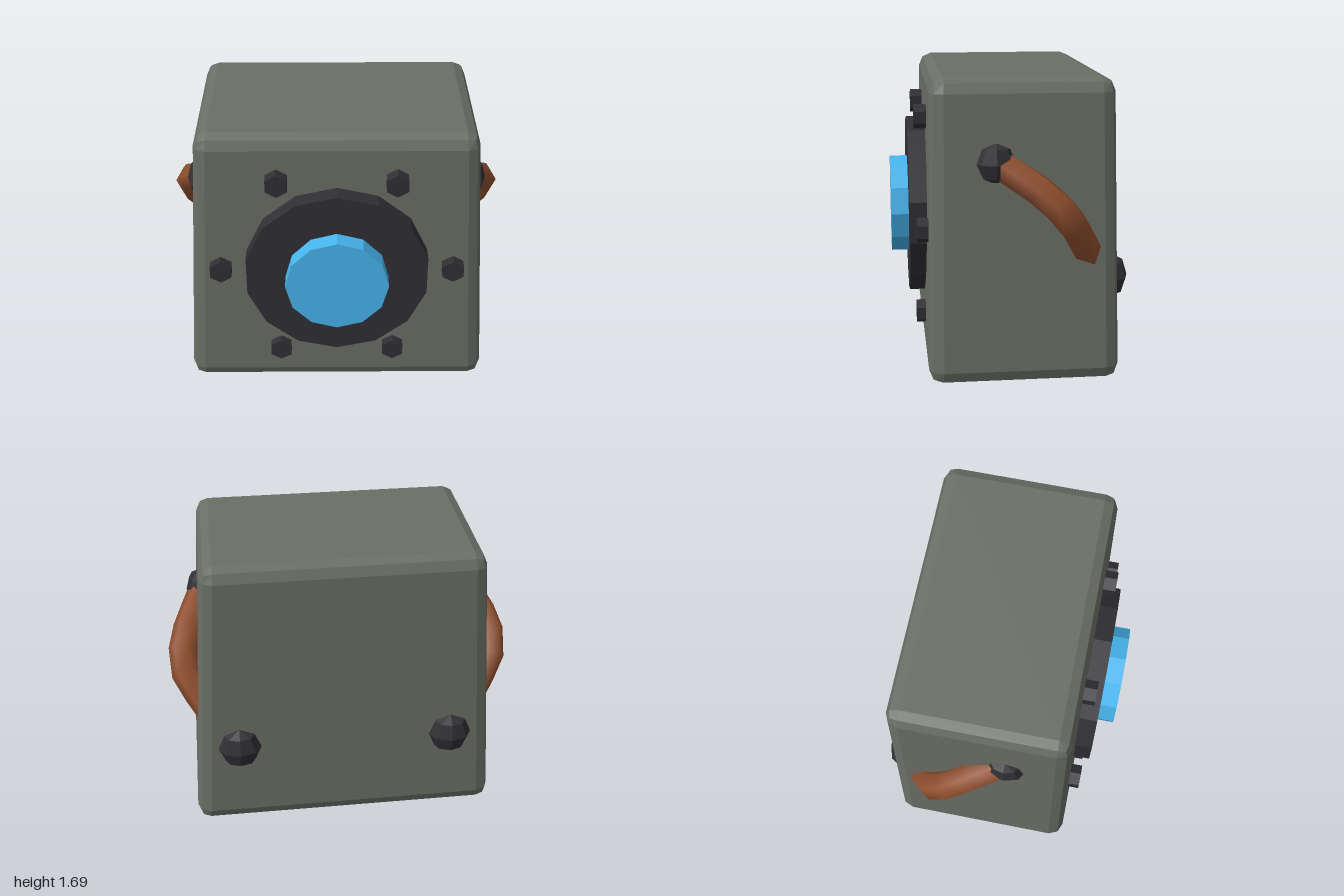
import * as THREE from 'three';
import { RoundedBoxGeometry } from 'three/addons/geometries/RoundedBoxGeometry.js';

const H = 1.69;
const CY = 0.846; // height of the lens axis

const paint = (color, flatShading = true) => new THREE.MeshStandardMaterial({ color, flatShading });

export function createModel() {
  const model = new THREE.Group();
  const shell = paint(0x6a6e65);
  const dark = paint(0x302f34);
  const blue = paint(0x46b5ee);
  const rust = paint(0x92502f, false);

  const add = (name, geometry, material, x = 0, y = 0, z = 0) => {
    const mesh = new THREE.Mesh(geometry, material);
    mesh.name = name;
    mesh.position.set(x, y, z);
    model.add(mesh);
    return mesh;
  };

  // Bevelled housing, narrowing towards the top
  const box = new RoundedBoxGeometry(1.794, H, 1.069, 1, 0.08);
  const p = box.attributes.position;
  for (let i = 0; i < p.count; i++) {
    const t = p.getY(i) / H + 0.5;
    p.setX(i, p.getX(i) * (1 - 0.125 * t));
    p.setZ(i, p.getZ(i) * (1 - 0.055 * t) - 0.0525 + 0.003 * t);
  }
  box.computeVertexNormals();
  add('housing', box, shell, 0, H / 2, 0);

  // Discs facing forward, each with a corner pointing up
  const disc = (name, r, sides, back, front, material, x, y) => {
    const g = new THREE.CylinderGeometry(r, r, front - back, sides);
    g.rotateX(-Math.PI / 2);
    add(name, g, material, x, y, (front + back) / 2);
  };
  disc('lensRing', 0.533, 14, 0.4, 0.565, dark, 0, CY);
  disc('lens', 0.295, 12, 0.5, 0.667, blue, 0, CY);

  // Six bolts around the ring
  for (let i = 0; i < 6; i++) {
    const a = (i * Math.PI) / 3;
    disc('bolt', 0.07, 6, 0.4, 0.53, dark, 0.672 * Math.cos(a), CY + 0.672 * Math.sin(a));
  }

  for (const s of [1, -1]) {
    // Rear knobs and side pivots
    add('rearKnob', new THREE.SphereGeometry(0.125, 8, 4), dark, s * 0.62, 0.54, -0.577)
      .scale.z = 0.72;
    add('sidePivot', new THREE.SphereGeometry(0.115, 8, 4), dark, s * 0.802, 1.235, 0.105)
      .scale.x = 0.63;

    // Bent side handle running from the pivot back into the housing
    const path = new THREE.CatmullRomCurve3([
      [0.775, 1.235, 0.09], [0.895, 1.06, -0.17], [0.91, 0.93, -0.29], [0.77, 0.7, -0.42],
    ].map(([x, y, z]) => new THREE.Vector3(s * x, y, z)));
    add('sideHandle', new THREE.TubeGeometry(path, 6, 0.088, 6), rust);
  }
  return model;
}
